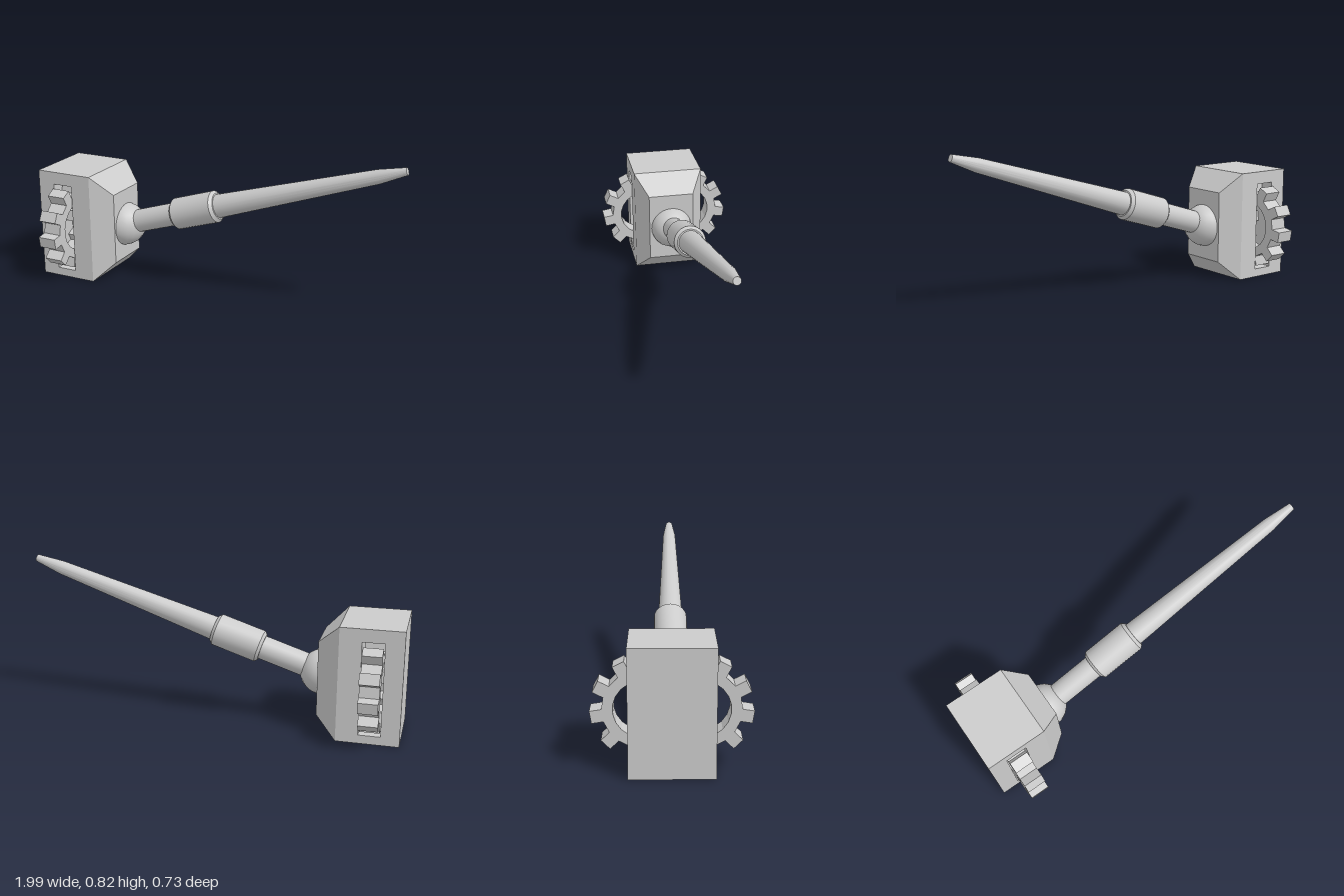
import * as THREE from 'three';
import { toCreasedNormals } from 'three/addons/utils/BufferGeometryUtils.js';

const material = new THREE.MeshStandardMaterial({ color: 0xcccccc });

function part(name, geometry, parent) {
  const mesh = new THREE.Mesh(geometry, material);
  mesh.name = name;
  parent.add(mesh);
  return mesh;
}

// Rectangle outline used for the block side and its slot
function rectangle(target, x0, y0, x1, y1) {
  target.moveTo(x0, y0);
  target.lineTo(x1, y0);
  target.lineTo(x1, y1);
  target.lineTo(x0, y1);
  target.closePath();
  return target;
}

// Ring with ten square teeth, centred on its own axis
function gearGeometry(thickness) {
  const teeth = 10, half = 0.029, root = 0.18, tip = 0.234, start = THREE.MathUtils.degToRad(27);
  const points = [];
  for (let i = 0; i < teeth; i++) {
    const a = start + (i / teeth) * Math.PI * 2;
    for (const [r, w] of [[root, -half], [tip, -half], [tip, half], [root, half]]) {
      points.push(new THREE.Vector2(r * Math.cos(a) - w * Math.sin(a), r * Math.sin(a) + w * Math.cos(a)));
    }
  }
  const shape = new THREE.Shape(points);
  const bore = [];
  for (let i = 0; i < 20; i++) {
    const a = -((i + 0.5) / 20) * Math.PI * 2;
    bore.push(new THREE.Vector2(0.133 * Math.cos(a), 0.133 * Math.sin(a)));
  }
  shape.holes.push(new THREE.Path(bore));
  const geometry = new THREE.ExtrudeGeometry(shape, { depth: thickness, bevelEnabled: false });
  return geometry.translate(0, 0, -thickness / 2);
}

export function createModel() {
  const model = new THREE.Group();
  model.name = 'turretArm';

  // Housing block with a slot right through it for the gears
  const housing = new THREE.Group();
  housing.name = 'housing';
  model.add(housing);
  const side = rectangle(new THREE.Shape(), -1, 0, -0.68, 0.6);
  side.holes.push(rectangle(new THREE.Path(), -0.905, 0.045, -0.793, 0.532));
  const block = new THREE.ExtrudeGeometry(side, { depth: 0.39, bevelEnabled: false });
  part('slottedBlock', block.translate(0, 0, -0.195), housing);

  // Tapered face of the housing
  const taper = new THREE.BoxGeometry(0.11, 0.6, 0.39);
  const pos = taper.attributes.position;
  for (let i = 0; i < pos.count; i++) {
    if (pos.getX(i) > 0) {
      pos.setY(i, Math.sign(pos.getY(i)) * 0.195);
      pos.setZ(i, Math.sign(pos.getZ(i)) * 0.127);
    }
  }
  const flat = taper.toNonIndexed();
  flat.computeVertexNormals();
  part('taperedFace', flat.translate(-0.625, 0.303, 0), housing).scale.set(1, 1, 1);
  flat.translate(0, -0.003, 0);

  // A mirrored pair of gears standing out of both sides
  for (const s of [1, -1]) {
    const gear = part(s > 0 ? 'frontGear' : 'backGear', gearGeometry(0.1), model);
    gear.position.set(-0.85, 0.29, 0.13 * s);
    gear.rotation.y = -s * Math.PI / 2;
  }

  // Ball joint
  const ball = part('ballJoint', new THREE.SphereGeometry(0.118, 20, 14), model);
  ball.position.set(-0.58, 0.295, 0);

  // Arm: shaft, collar and tapering tip turned around one axis
  const arm = new THREE.Group();
  arm.name = 'arm';
  arm.position.copy(ball.position);
  arm.rotation.z = THREE.MathUtils.degToRad(17.9 - 90);
  model.add(arm);
  const turned = (name, profile) => {
    const geometry = new THREE.LatheGeometry(profile.map(([r, y]) => new THREE.Vector2(r, y)), 24);
    part(name, toCreasedNormals(geometry, 0.5), arm);
  };
  turned('shaft', [[0, 0], [0.062, 0], [0.062, 0.36], [0, 0.36]]);
  turned('collar', [[0, 0.337], [0.07, 0.337], [0.085, 0.352], [0.085, 0.59], [0.07, 0.606], [0, 0.606]]);
  turned('barrel', [[0, 0.59], [0.063, 0.59], [0.036, 1.5], [0.019, 1.645], [0, 1.645]]);

  return model;
}
